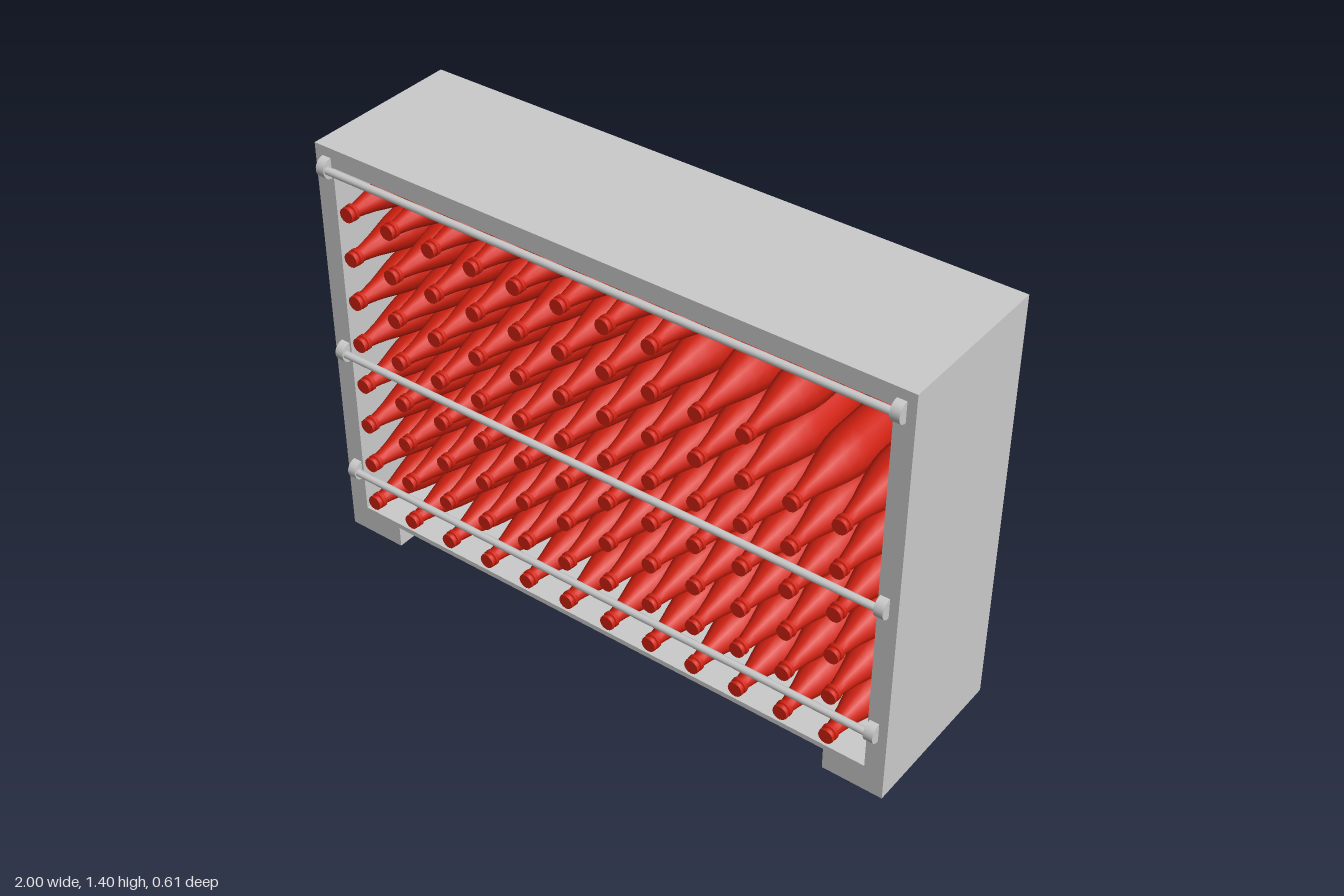
import * as THREE from 'three';
import { toCreasedNormals } from 'three/addons/utils/BufferGeometryUtils.js';

const DEPTH = 0.54, Z_MID = -0.003;

// Rectangular casing on two feet, open at front and back
function frameGeometry() {
  const outline = new THREE.Shape([
    [-1, 0], [-0.8, 0], [-0.8, 0.073], [0.8, 0.073], [0.8, 0], [1, 0], [1, 1.4], [-1, 1.4],
  ].map(([x, y]) => new THREE.Vector2(x, y)));
  outline.holes.push(new THREE.Path([
    [-0.936, 0.09], [-0.936, 1.338], [0.936, 1.338], [0.936, 0.09],
  ].map(([x, y]) => new THREE.Vector2(x, y))));
  const geometry = new THREE.ExtrudeGeometry(outline, { depth: DEPTH, bevelEnabled: false });
  return geometry.translate(0, 0, Z_MID - DEPTH / 2);
}

// Bottle lying along z: hollowed base at the back, lipped neck to the front
function bottleGeometry() {
  const profile = [
    [0, 0.03], [0.035, 0.022], [0.064, 0], [0.073, 0.008], [0.073, 0.21],
    [0.069, 0.255], [0.059, 0.305], [0.046, 0.355], [0.034, 0.4], [0.026, 0.44],
    [0.022, 0.465], [0.022, 0.47], [0.026, 0.473], [0.026, 0.485], [0.021, 0.487],
    [0.021, 0.492], [0.025, 0.494], [0.024, 0.503], [0, 0.503],
  ].map(([r, y]) => new THREE.Vector2(r, y));
  const geometry = new THREE.LatheGeometry(profile, 12);
  return toCreasedNormals(geometry, 0.8).rotateX(Math.PI / 2);
}

export function createModel() {
  const model = new THREE.Group();
  const grey = new THREE.MeshStandardMaterial({ color: 0xcccccc });
  const red = new THREE.MeshStandardMaterial({ color: 0xd02010 });

  const add = (parent, name, geometry, material, x = 0, y = 0, z = 0) => {
    const mesh = new THREE.Mesh(geometry, material);
    mesh.name = name;
    mesh.position.set(x, y, z);
    parent.add(mesh);
  };

  add(model, 'frame', frameGeometry(), grey);

  // Retaining bars with round end brackets, three on each open side
  const bar = new THREE.CylinderGeometry(0.012, 0.012, 1.9, 12).rotateZ(Math.PI / 2);
  const bracket = new THREE.CylinderGeometry(0.033, 0.033, 0.03, 24).rotateZ(Math.PI / 2);
  const rails = new THREE.Group();
  rails.name = 'rails';
  for (const side of [-1, 1]) {
    const faceZ = Z_MID + side * DEPTH / 2;
    for (const y of [1.335, 0.695, 0.24]) {
      add(rails, 'railBar', bar, grey, 0, y, faceZ + side * 0.017);
      for (const x of [-0.957, 0.957]) add(rails, 'railBracket', bracket, grey, x, y, faceZ);
    }
  }
  model.add(rails);

  // Stacked bottles, the top two rows partly filled
  const bottle = bottleGeometry();
  const bottles = new THREE.Group();
  bottles.name = 'bottles';
  [12, 12, 12, 12, 12, 12, 10, 8].forEach((count, row) => {
    for (let column = 0; column < count; column++) {
      add(bottles, 'bottle', bottle, red, -0.86 + column * 0.1535, 0.17 + row * 0.151, -0.196);
    }
  });
  model.add(bottles);

  return model;
}
